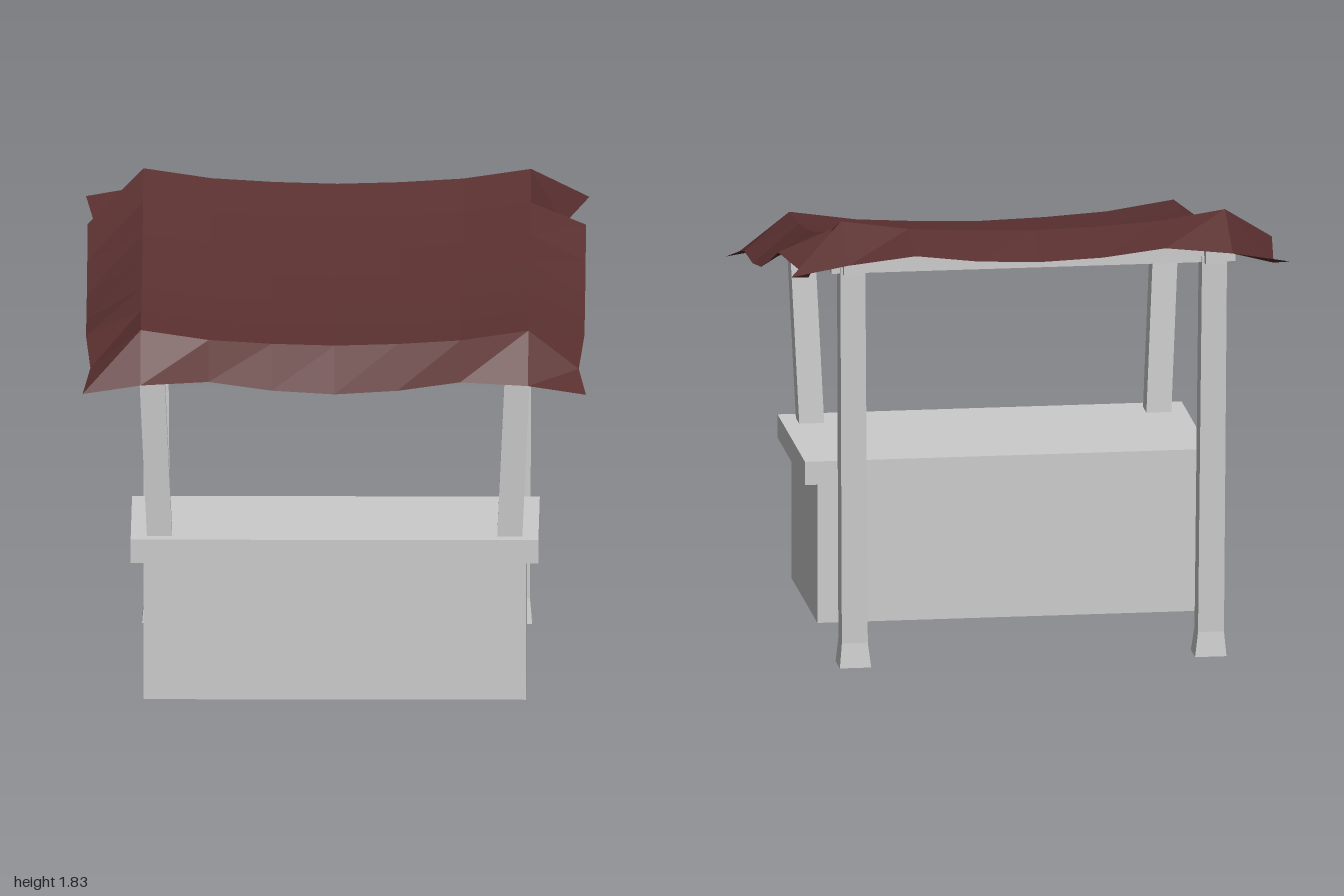
import * as THREE from 'three';

const grey = new THREE.MeshStandardMaterial({ color: 0xcccccc, flatShading: true });
const cloth = new THREE.MeshStandardMaterial({ color: 0x5a3030, flatShading: true, side: THREE.DoubleSide });

// Box given by its min and max corners
function block(name, x0, x1, y0, y1, z0, z1) {
  const mesh = new THREE.Mesh(new THREE.BoxGeometry(x1 - x0, y1 - y0, z1 - z0), grey);
  mesh.position.set((x0 + x1) / 2, (y0 + y1) / 2, (z0 + z1) / 2);
  mesh.name = name;
  return mesh;
}

// Square post lofted through sections [x, y, z, half width], bottom to top
function post(name, sections, side) {
  const pos = [], idx = [];
  for (const [x, y, z, h] of sections)
    for (const [sx, sz] of [[1, 1], [1, -1], [-1, -1], [-1, 1]]) pos.push(side * x + sx * h, y, z + sz * h);
  for (let s = 0; s < sections.length - 1; s++)
    for (let k = 0; k < 4; k++) {
      const a = s * 4 + k, b = s * 4 + (k + 1) % 4;
      idx.push(a, b, b + 4, a, b + 4, a + 4);
    }
  const t = (sections.length - 1) * 4;
  idx.push(t, t + 1, t + 2, t, t + 2, t + 3, 0, 2, 1, 0, 3, 2);
  const g = new THREE.BufferGeometry();
  g.setAttribute('position', new THREE.Float32BufferAttribute(pos, 3));
  g.setIndex(idx);
  g.computeVertexNormals();
  const mesh = new THREE.Mesh(g, grey);
  mesh.name = name;
  return mesh;
}

// Sagging cloth: a grid whose outer ring folds down as the eaves
function canopy() {
  const xs = [-0.99, -0.77, -0.5, -0.25, 0, 0.25, 0.5, 0.77, 0.99];
  const zs = [0.97, 0.785, 0.5, 0.25, 0, -0.25, -0.5, -0.735, -0.97];
  const ridge = [0, 1.5, 1.52, 1.555, 1.605, 1.665, 1.74, 1.825, 0];       // height along the side folds
  const sideEave = [1.28, 1.345, 1.415, 1.425, 1.47, 1.555, 1.65, 1.6, 1.66];
  const frontEave = [1.28, 1.315, 1.33, 1.295, 1.28];                       // corner to centre
  const backEave = [1.66, 1.7, 1.73, 1.7, 1.69];
  const sag = [0, 0, 0.04, 0.055, 0.062];
  const n = 9, pos = [], idx = [];
  for (let j = 0; j < n; j++)
    for (let i = 0; i < n; i++) {
      const m = Math.min(i, n - 1 - i);
      let x = xs[i], y = ridge[j] - sag[m];
      if (j === 0) y = frontEave[m];
      else if (j === n - 1) y = backEave[m];
      else if (m === 0) y = sideEave[j];
      // corner tips reach out, with the cloth tucked in beside them
      if (m === 0) {
        if (j === 0 || j === n - 1) x = Math.sign(x);
        if (j === 1) x *= 0.98;
        if (j === n - 2) x = i === 0 ? -0.965 : 0.9;
      }
      pos.push(x, y, zs[j]);
      if (i < n - 1 && j < n - 1) {
        const a = j * n + i;
        idx.push(a, a + 1, a + n + 1, a, a + n + 1, a + n);
      }
    }
  const g = new THREE.BufferGeometry();
  g.setAttribute('position', new THREE.Float32BufferAttribute(pos, 3));
  g.setIndex(idx);
  g.computeVertexNormals();
  const mesh = new THREE.Mesh(g, cloth);
  mesh.name = 'canopy';
  return mesh;
}

export function createModel() {
  const stall = new THREE.Group();
  stall.name = 'marketStall';

  // Counter
  stall.add(block('counterBase', -0.76, 0.76, 0, 0.565, 0.03, 0.79));
  stall.add(block('counterTop', -0.81, 0.81, 0.565, 0.66, 0.03, 0.84));

  // Posts, side rafters and the rafter ends behind the back posts
  for (const side of [1, -1]) {
    const label = side > 0 ? 'left' : 'right';
    stall.add(post(label + 'FrontPost', [[0.695, 0.64, 0.72, 0.05], [0.728, 1.36, 0.75, 0.05]], side));
    stall.add(post(label + 'BackPost', [
      [0.712, 0, -0.682, 0.063], [0.714, 0.1, -0.685, 0.052], [0.725, 1.64, -0.71, 0.05]], side));

    const z0 = 0.76, z1 = -0.74, slope = -0.224;
    const rafter = new THREE.Mesh(new THREE.BoxGeometry(0.08, 0.075, Math.hypot(z0 - z1, (z0 - z1) * slope)), grey);
    rafter.position.set(side * 0.725, 1.506 + slope * (z0 + z1) / 2, (z0 + z1) / 2);
    rafter.rotation.x = -Math.atan(slope);
    rafter.name = label + 'Rafter';
    stall.add(rafter);

    const c = side * 0.725;
    stall.add(block(label + 'RafterEnd', c - 0.04, c + 0.04, 1.615, 1.7, -0.8, -0.66));
  }

  // Cross beams
  stall.add(block('frontBeam', -0.76, 0.76, 1.335, 1.405, 0.71, 0.785));
  stall.add(block('backBeam', -0.81, 0.81, 1.615, 1.69, -0.75, -0.67));

  stall.add(canopy());
  return stall;
}
